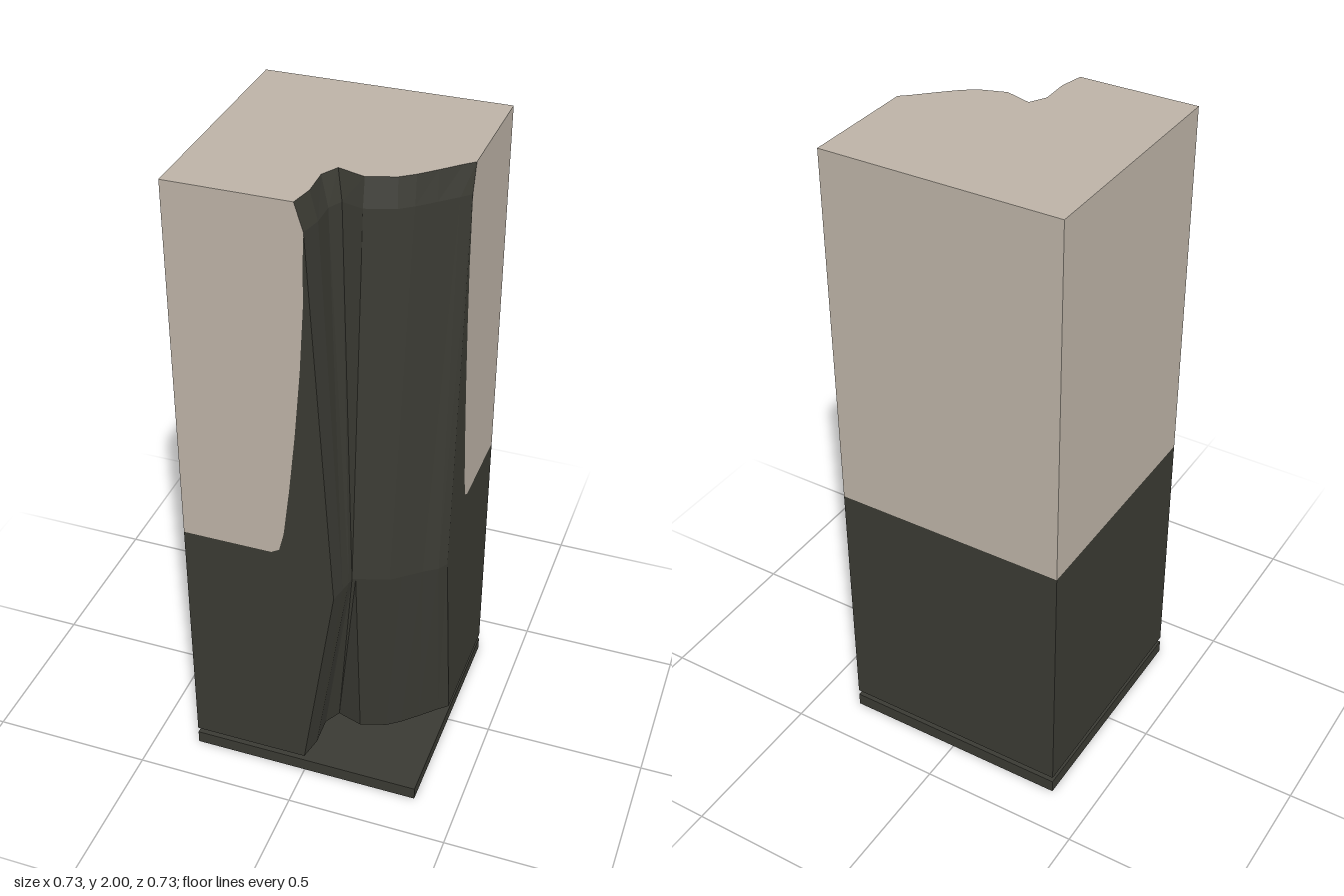
import * as THREE from 'three';

const H = 0.363, FOOT = 0.06, TOP = 2, SPLIT = 0.865;

// Carved corner outline as [x, z], running from the front face to the left face
const ends = [[0, H], [0.015, 0.29], [0.012, 0.2], [0.04, 0.15], [0.12, 0.175], [0.2, 0.148],
  [0.24, 0.118], [0.285, 0.075], [0.335, 0.025], [H, 0]];
const waist = [[0.1, H], [0.11, 0.315], [0.117, 0.28], [0.12, 0.26], [0.13, 0.256], [0.225, 0.225],
  [0.255, 0.2], [0.305, 0.158], [0.345, 0.13], [H, 0.1]];
const neck = ends.map(([x, z], i) => [x + (waist[i][0] - x) * 0.25, z + (waist[i][1] - z) * 0.25]);
const levels = [[FOOT, ends], [0.74, waist], [1.92, neck], [TOP, ends]];

const flat = (pts) => new THREE.ShapeGeometry(new THREE.Shape(pts.map(([x, y]) => new THREE.Vector2(x, y))));

// Carved wall joining the outlines at each level
function wallGeometry() {
  const pos = [];
  for (let l = 0; l < levels.length - 1; l++) {
    const [y0, lo] = levels[l], [y1, hi] = levels[l + 1];
    for (let i = 0; i < lo.length - 1; i++) {
      const a = [lo[i][0], y0, lo[i][1]], b = [lo[i + 1][0], y0, lo[i + 1][1]];
      const c = [hi[i + 1][0], y1, hi[i + 1][1]], d = [hi[i][0], y1, hi[i][1]];
      pos.push(...a, ...b, ...c, ...a, ...c, ...d);
    }
  }
  const g = new THREE.BufferGeometry();
  g.setAttribute('position', new THREE.Float32BufferAttribute(pos, 3));
  g.computeVertexNormals();
  return g;
}

export function createModel() {
  const group = new THREE.Group();
  const cream = new THREE.MeshStandardMaterial({ color: 0xbcb2a6 });
  cream.name = 'cream';
  const dark = new THREE.MeshStandardMaterial({ color: 0x3a3a33 });
  dark.name = 'charcoal';
  const add = (name, geo, mat) => {
    const m = new THREE.Mesh(geo, mat);
    m.name = name;
    group.add(m);
    return m;
  };

  // Base plate, separated from the column by a narrow gap
  add('basePlate', new THREE.BoxGeometry(2 * H, 0.042, 2 * H), dark).position.y = 0.021;

  // Column ends
  const corners = [[H, -H], [-H, -H], [-H, H]];
  const plan = [...ends, ...corners];
  add('columnTop', flat(plan.map(([x, z]) => [x, -z])).rotateX(-Math.PI / 2).translate(0, TOP, 0), cream);
  add('columnUnderside', flat(plan).rotateX(Math.PI / 2).translate(0, FOOT, 0), dark);

  // Carved corner
  add('carvedWall', wallGeometry(), dark);

  // The two cut faces: the dark colour sweeps up along the carved edge
  const sweep = [[-0.09, SPLIT], [-0.065, 0.88], [-0.05, 0.94], [-0.03, 1.1], [-0.01, 1.29],
    [0.008, 1.5], [0.02, 1.7], [0.022, 1.85], [0.025, 1.92]];
  const upper = [[-H, SPLIT], ...sweep, [0, TOP], [-H, TOP]];
  const lower = [[-H, FOOT], [0, FOOT], [0.1, 0.74], ...[...sweep].reverse(), [-H, SPLIT]];
  for (const [part, pts, mat] of [['Upper', upper, cream], ['Lower', lower, dark]]) {
    add('front' + part, flat(pts).translate(0, 0, H), mat);
    add('left' + part, flat(pts.map(([s, y]) => [-s, y])).rotateY(Math.PI / 2).translate(H, 0, 0), mat);
  }

  // The two whole faces, split straight across
  for (const [part, y0, y1, mat] of [['Upper', SPLIT, TOP, cream], ['Lower', FOOT, SPLIT, dark]]) {
    for (const [side, angle] of [['back', Math.PI], ['right', -Math.PI / 2]]) {
      const g = new THREE.PlaneGeometry(2 * H, y1 - y0).translate(0, (y0 + y1) / 2, H).rotateY(angle);
      add(side + part, g, mat);
    }
  }
  return group;
}
